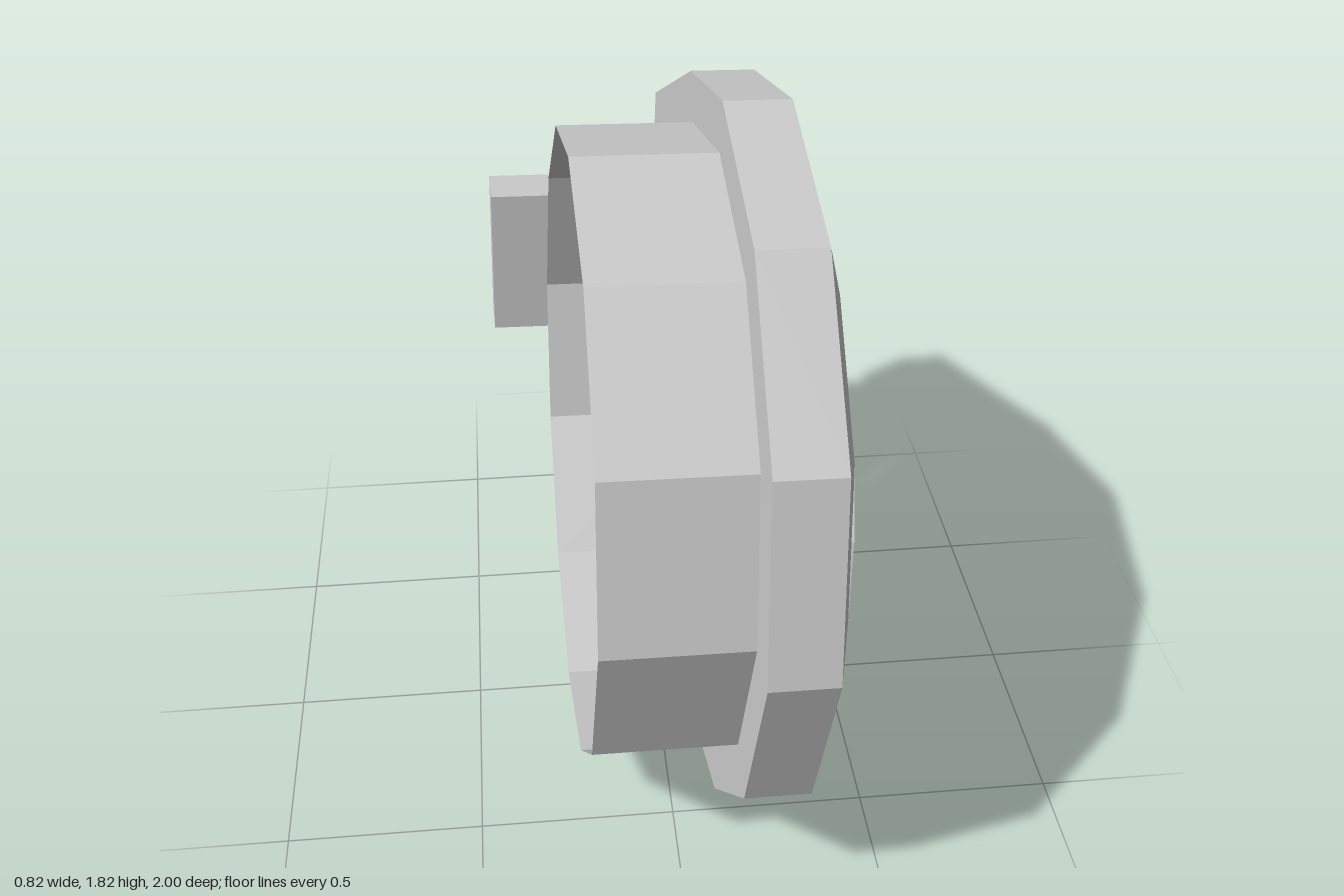
import * as THREE from 'three';

const material = new THREE.MeshStandardMaterial({ color: 0xcccccc, flatShading: true, side: THREE.DoubleSide });

function meshFrom(name, positions) {
  const g = new THREE.BufferGeometry();
  g.setAttribute('position', new THREE.Float32BufferAttribute(positions, 3));
  g.computeVertexNormals();
  const m = new THREE.Mesh(g, material);
  m.name = name;
  return m;
}

// Loops hold [x, y, z] corners; neighbouring loops are joined by quads
function loft(loops) {
  const out = [];
  for (let j = 0; j + 1 < loops.length; j++) {
    const a = loops[j], b = loops[j + 1], n = a.length;
    for (let i = 0; i < n; i++) {
      const k = (i + 1) % n;
      out.push(...a[i], ...a[k], ...b[k], ...a[i], ...b[k], ...b[i]);
    }
  }
  return out;
}

function fan(points) {
  const out = [];
  for (let i = 1; i + 1 < points.length; i++) out.push(...points[0], ...points[i], ...points[i + 1]);
  return out;
}

// Corner k of a twelve-sided ring around the x axis, starting at the top
const corner = (k, r, x) => [x, r * Math.cos(k * Math.PI / 6), r * Math.sin(k * Math.PI / 6)];
const ring = (r, x) => Array.from({ length: 12 }, (_, k) => corner(k, r, x));

export function createModel() {
  const model = new THREE.Group();
  model.name = 'roundCover';
  const body = new THREE.Group();
  body.name = 'tiltedBody';
  body.position.set(0, 0.91, 0.09);
  body.rotation.set(0, 0.025, -0.03);
  model.add(body);

  const R = 0.91, r = 0.71, arm = 0.18, armEnd = 0.662;
  const backX = 0.115, rimX = 0.273, ringX = 0.33, topX = 0.4, endX = 0.336;

  // Rim outline as [y, z, index of the nearest inner ring corner]
  const outline = [];
  for (let k = 0; k < 8; k++) outline.push([...corner(k, R, 0).slice(1), k]);
  outline.push(
    [-0.46, -1.085, 8], [-0.23, -1.085, 8], [-0.23, -0.92, 8], [-0.23, -0.92, 9],
    [0.22, -0.92, 9], [0.22, -0.92, 10], [0.22, -1.085, 10], [0.455, -1.085, 10]
  );
  outline.push([...corner(11, R, 0).slice(1), 11]);
  // The rim is slightly higher at the bottom of the notch
  const frontX = z => (z < -0.9 && z > -1 ? 0.3 : rimX);
  body.add(meshFrom('coverRim', loft([
    outline.map(p => corner(p[2], 0.775, backX)),
    outline.map(([y, z]) => [backX, y, z]),
    outline.map(([y, z]) => [frontX(z), y, z]),
    outline.map(p => corner(p[2], r, ringX))
  ])));

  // Collar behind the cover, with a bevel inside the shell
  body.add(meshFrom('collar', loft([ring(0.785, -0.225), ring(0.785, 0.21), ring(r, 0.325)])));

  // Flat hub and four sloping arms
  const cross = fan([[topX, arm, arm], [topX, -arm, arm], [topX, -arm, -arm], [topX, arm, -arm]]);
  for (let q = 0; q < 4; q++) {
    const c = Math.round(Math.cos(q * Math.PI / 2)), s = Math.round(Math.sin(q * Math.PI / 2));
    const turn = ([x, y, z]) => [x, y * c - z * s, y * s + z * c];
    cross.push(...fan([
      [ringX, r, 0], [endX, armEnd, arm], [topX, arm, arm],
      [topX, arm, -arm], [endX, armEnd, -arm]
    ].map(turn)));
  }
  body.add(meshFrom('crossFace', cross));

  // Four sunken pockets between the arms
  const floorX = 0.27;
  const mouth = [
    [topX, arm, arm], [endX, armEnd, arm], corner(1, r, ringX), corner(2, r, ringX), [endX, arm, armEnd]
  ];
  const floor = [[0.228, 0.228], [0.595, 0.228], [0.57, 0.34], [0.34, 0.57], [0.228, 0.595]];
  floor[2] = [0.573, 0.335];
  floor[3] = [0.335, 0.573];
  for (const sy of [1, -1]) {
    for (const sz of [1, -1]) {
      const top = mouth.map(([x, y, z]) => [x, y * sy, z * sz]);
      const base = floor.map(([y, z]) => [floorX, y * sy, z * sz]);
      body.add(meshFrom('pocket', [...loft([top, base]), ...fan(base)]));
    }
  }

  // Clasp reaching back from the notch, with a bevelled front end
  const profile = [[-0.375, -1.05], [-0.375, -0.915], [0.2, -0.915], [0.2, -0.985], [0.12, -1.05]];
  const section = y => profile.map(([x, z]) => [x, y, z]);
  body.add(meshFrom('clasp', [
    ...loft([section(-0.22), section(0.22)]), ...fan(section(-0.22)), ...fan(section(0.22))
  ]));

  // Thin tab joining the clasp to the collar
  const tab = new THREE.Mesh(new THREE.BoxGeometry(0.025, 0.44, 0.2), material);
  tab.name = 'claspTab';
  tab.position.set(0.103, 0, -0.85);
  body.add(tab);

  return model;
}
